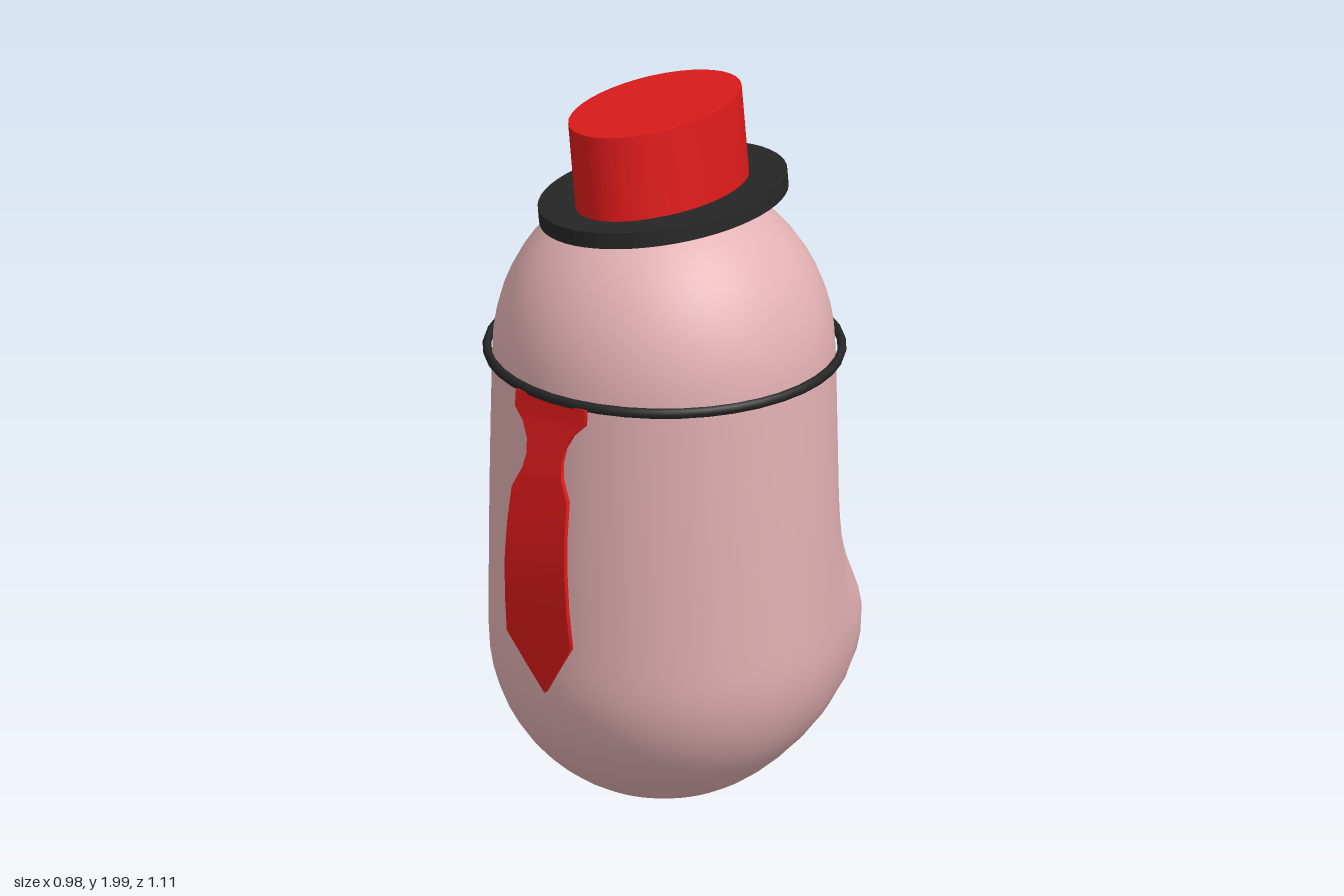
import * as THREE from 'three';
import { mergeVertices } from 'three/addons/utils/BufferGeometryUtils.js';

const material = (color, side = THREE.FrontSide) => new THREE.MeshStandardMaterial({ color, side });
const pink = material(0xe3b1b3);
const red = material(0xdd1a1a);
const black = material(0x262626);

function addMesh(parent, name, geometry, mat) {
  const mesh = new THREE.Mesh(geometry, mat);
  mesh.name = name;
  parent.add(mesh);
  return mesh;
}

// Capsule body with two rounded bulges pushed out of the lower back
function bodyGeometry() {
  const profile = [];
  const arc = 14;
  for (let i = 0; i <= arc; i++) {
    const a = (i / arc) * Math.PI / 2;
    profile.push(new THREE.Vector2(0.47 * Math.sin(a), 0.48 - 0.47 * Math.cos(a)));
  }
  for (let i = 1; i < 14; i++) {
    const t = i / 14;
    profile.push(new THREE.Vector2(0.47 - 0.01 * t * t, 0.48 + 0.8 * t));
  }
  for (let i = 0; i <= arc; i++) {
    const a = (i / arc) * Math.PI / 2;
    profile.push(new THREE.Vector2(i === arc ? 0 : 0.46 * Math.cos(a), 1.28 + 0.485 * Math.sin(a)));
  }
  let geometry = new THREE.LatheGeometry(profile, 48);
  geometry.deleteAttribute('uv');
  geometry.deleteAttribute('normal');
  geometry = mergeVertices(geometry, 1e-4);

  const p = geometry.attributes.position;
  for (let i = 0; i < p.count; i++) {
    const x = p.getX(i), y = p.getY(i), z = p.getZ(i);
    if (z >= 0) continue;
    const dy = y - 0.37;
    const vertical = dy > 0 ? Math.exp(-((dy / 0.26) ** 2)) : Math.exp(-((dy / 0.19) ** 4));
    let push = 0;
    for (const side of [-1, 1]) {
      const dx = side * x - 0.22;
      const sigma = dx > 0 ? 0.095 : 0.12;
      push += Math.exp(-(dx * dx) / (2 * sigma * sigma));
    }
    const backFade = Math.min(1, -z / 0.15);
    p.setZ(i, z - 0.15 * push * vertical * backFade);
  }
  geometry.computeVertexNormals();
  return geometry;
}

// Curved necktie: each row is [height, half width, depth]
function tieGeometry() {
  const rows = [
    [1.28, 0.12, 0.483], [1.235, 0.12, 0.487], [1.2, 0.085, 0.495], [1.16, 0.065, 0.503],
    [1.12, 0.06, 0.511], [1.08, 0.067, 0.52], [1.02, 0.096, 0.53], [0.92, 0.1, 0.544],
    [0.82, 0.104, 0.549], [0.71, 0.107, 0.545], [0.6, 0.11, 0.533], [0.52, 0.055, 0.522], [0.44, 0.001, 0.508],
  ];
  const n = rows.length - 1;
  const geometry = new THREE.BoxGeometry(2, 1, 0.013, 1, n, 1);
  const p = geometry.attributes.position;
  for (let i = 0; i < p.count; i++) {
    const [y, halfWidth, z] = rows[Math.round((0.5 - p.getY(i)) * n)];
    p.setXYZ(i, p.getX(i) * halfWidth, y, p.getZ(i) + z);
  }
  geometry.computeVertexNormals();
  return geometry;
}

// Flat oval brim with an oval hole
function brimGeometry() {
  const shape = new THREE.Shape().absellipse(0, 0, 0.305, 0.375, 0, Math.PI * 2);
  shape.holes.push(new THREE.Path().absellipse(0, 0, 0.2, 0.275, 0, Math.PI * 2, true));
  const geometry = new THREE.ExtrudeGeometry(shape, { depth: 0.045, bevelEnabled: false, curveSegments: 28 });
  geometry.translate(0, 0, -0.0225);
  geometry.rotateX(-Math.PI / 2);
  return geometry;
}

export function createModel() {
  const model = new THREE.Group();
  model.name = 'figure';

  addMesh(model, 'body', bodyGeometry(), pink).position.z = 0.013;

  // Thin collar band around the neck line
  const collar = addMesh(model, 'collar', new THREE.TorusGeometry(0.476, 0.012, 8, 40), black);
  collar.rotation.x = Math.PI / 2;
  collar.scale.z = 1.25;
  collar.position.set(0, 1.285, 0.011);

  addMesh(model, 'necktie', tieGeometry(), red);

  // Tilted oval top hat
  const hat = new THREE.Group();
  hat.name = 'hat';
  hat.position.set(-0.003, 1.722, 0.013);
  hat.rotation.set(0.012, 0, 0.1);
  addMesh(hat, 'brim', brimGeometry(), black);
  const crown = addMesh(hat, 'crown', new THREE.CylinderGeometry(1, 1, 0.25, 40), red);
  crown.scale.set(0.19, 1, 0.284);
  crown.position.set(0.002, 0.136, 0.004);
  hat.rotation.z = 0.095;
  model.add(hat);

  return model;
}
